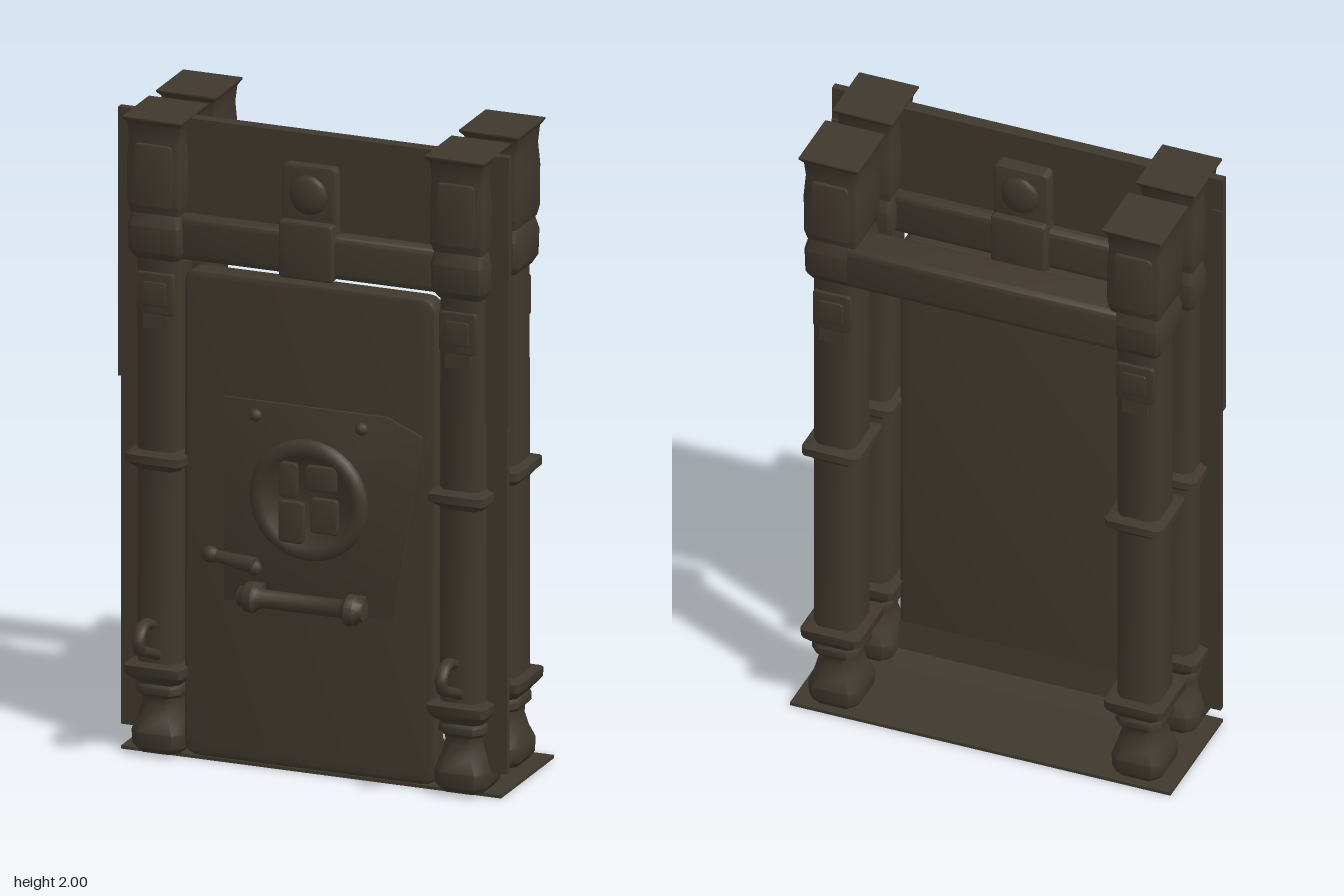
import * as THREE from 'three';
import { toCreasedNormals } from 'three/addons/utils/BufferGeometryUtils.js';

const iron = new THREE.MeshStandardMaterial({ color: 0x40382e, side: THREE.DoubleSide });
iron.name = 'dark iron';

function add(parent, name, geo, x = 0, y = 0, z = 0) {
  const m = new THREE.Mesh(geo, iron);
  m.name = name;
  m.position.set(x, y, z);
  parent.add(m);
  return m;
}
const box = (p, name, w, h, d, x, y, z) => add(p, name, new THREE.BoxGeometry(w, h, d), x, y, z);

// Bevelled plate standing in the xy plane, centred in depth
function plate(shape, depth, bevel) {
  const g = new THREE.ExtrudeGeometry(shape, {
    depth: depth - 2 * bevel, bevelThickness: bevel, bevelSize: bevel, bevelOffset: -bevel,
    bevelSegments: 2, curveSegments: 6,
  });
  g.translate(0, 0, -depth / 2 + bevel);
  return toCreasedNormals(g, 0.6);
}
function roundedRect(w, h, r) {
  const s = new THREE.Shape(), a = w / 2, b = h / 2;
  s.moveTo(-a + r, -b).lineTo(a - r, -b).quadraticCurveTo(a, -b, a, -b + r);
  s.lineTo(a, b - r).quadraticCurveTo(a, b, a - r, b).lineTo(-a + r, b);
  s.quadraticCurveTo(-a, b, -a, b - r).lineTo(-a, -b + r).quadraticCurveTo(-a, -b, -a + r, -b);
  return s;
}

// Chamfered column swept through [half width, y, chamfer]; slightly deeper than wide
function column(profile) {
  const pos = [], idx = [], deep = 1.1;
  for (const [h, y, c] of profile) {
    const k = h - c;
    for (const [x, z] of [[k, h], [h, k], [h, -k], [k, -h], [-k, -h], [-h, -k], [-h, k], [-k, h]]) pos.push(x, y, z * deep);
  }
  for (let i = 0; i < profile.length - 1; i++) {
    for (let j = 0; j < 8; j++) {
      const a = i * 8 + j, b = i * 8 + (j + 1) % 8;
      idx.push(a, b, b + 8, a, b + 8, a + 8);
    }
  }
  const top = (profile.length - 1) * 8;
  for (let j = 1; j < 7; j++) idx.push(top, top + j, top + j + 1, 0, j + 1, j);
  const g = new THREE.BufferGeometry();
  g.setAttribute('position', new THREE.Float32BufferAttribute(pos, 3));
  g.setIndex(idx);
  return toCreasedNormals(g, 0.85);
}

// Post with turned foot, collars and capped capital; +z is its outer side
function post() {
  const p = new THREE.Group();
  add(p, 'foot', column([
    [0.066, 0.01, 0.025], [0.08, 0.03, 0.025], [0.082, 0.075, 0.025], [0.068, 0.12, 0.03], [0.059, 0.16, 0.03],
    [0.06, 0.18, 0.03], [0.073, 0.195, 0.025], [0.073, 0.215, 0.025], [0.068, 0.225, 0.02], [0.08, 0.245, 0.015],
  ]));
  add(p, 'footCollar', column([[0.08, 0.24, 0.015], [0.094, 0.258, 0.012], [0.095, 0.285, 0.012], [0.068, 0.292, 0.02]]));
  add(p, 'shaft', column([[0.068, 0.28, 0.022], [0.068, 0.9, 0.022], [0.067, 1.57, 0.02]]));
  add(p, 'middleCollar', column([
    [0.068, 0.895, 0.02], [0.078, 0.908, 0.015], [0.092, 0.92, 0.012], [0.092, 0.945, 0.012], [0.068, 0.955, 0.02]]));
  add(p, 'lintelBlock', column([[0.07, 1.555, 0.012], [0.084, 1.58, 0.012], [0.086, 1.66, 0.012], [0.074, 1.71, 0.012]]));
  add(p, 'capital', column([
    [0.078, 1.7, 0.006], [0.085, 1.73, 0.006], [0.086, 1.86, 0.006], [0.081, 1.93, 0.006], [0.085, 1.98, 0.004],
    [0.096, 1.995, 0.002], [0.096, 2, 0.002]]));
  // Raised tags on the outer face
  add(p, 'capitalTag', plate(roundedRect(0.12, 0.2, 0.015), 0.02, 0.005), 0, 1.82, 0.091);
  add(p, 'upperTag', plate(roundedRect(0.12, 0.13, 0.012), 0.02, 0.005), 0, 1.45, 0.073);
  add(p, 'upperTagInset', plate(roundedRect(0.075, 0.075, 0.008), 0.01, 0.003), 0, 1.45, 0.084);
  box(p, 'tagTail', 0.08, 0.05, 0.012, 0, 1.365, 0.074);
  return p;
}

// Flat-sided hook, swept in the yz plane
function hook() {
  const curve = new THREE.CatmullRomCurve3([
    [0.11, 0.3], [0.16, 0.325], [0.22, 0.35], [0.27, 0.37], [0.284, 0.4], [0.265, 0.43], [0.225, 0.44], [0.185, 0.425],
  ].map(([z, y]) => new THREE.Vector3(0, y, z)));
  const g = new THREE.TubeGeometry(curve, 28, 0.016, 8);
  g.scale(1.25, 1, 1);
  return g;
}

export function createModel() {
  const model = new THREE.Group();
  model.name = 'ironGate';

  box(model, 'floorPlate', 1.22, 0.01, 0.41, 0, 0.005, -0.088);

  // Sloping threshold behind the foot of the door
  const wedge = new THREE.Shape([[-0.07, 0], [-0.005, 0.01], [0.035, 0.05], [0.05, 0.14], [-0.07, 0.14]]
    .slice(0, 4).concat([[0.07, 0.14], [0.07, 0]]).slice(1).map(([z, y]) => new THREE.Vector2(-z, y)));
  const ramp = new THREE.ExtrudeGeometry(wedge, { depth: 0.8, bevelEnabled: false });
  ramp.translate(0, 0, -0.4);
  ramp.rotateY(Math.PI / 2);
  add(model, 'threshold', ramp);

  // Four posts, hooks and side flanges
  for (const s of [-1, 1]) {
    const front = post();
    front.name = 'frontPost';
    front.position.set(s * 0.486, 0, 0.075);
    model.add(front);
    const back = post();
    back.name = 'backPost';
    back.position.set(s * 0.486, 0, -0.19);
    back.rotation.y = Math.PI;
    model.add(back);
    add(model, 'hook', hook(), s * 0.486, 0, 0);
    box(model, 'lowerFlange', 0.09, 1.09, 0.02, s * 0.575, 0.615, 0.085);
    box(model, 'upperFlange', 0.08, 0.84, 0.025, s * 0.587, 1.58, 0.088);
    box(model, 'flangeClip', 0.03, 0.16, 0.03, s * 0.611, 1.81, 0.085);
  }

  // Lintels and header wall
  for (const [name, depth, z] of [['frontLintel', 0.115, 0.087], ['backLintel', 0.135, -0.219]]) {
    const g = plate(roundedRect(depth, 0.14, 0.025), 0.86, 0.002);
    g.rotateY(Math.PI / 2);
    add(model, name, g, 0, 1.63, z);
  }
  box(model, 'headerWall', 0.9, 0.33, 0.04, 0, 1.83, 0.085);

  // Central keystone, with a face on both sides of the header
  const key = new THREE.Group();
  key.name = 'keystone';
  model.add(key);
  add(key, 'keystoneBand', plate(roundedRect(0.175, 0.18, 0.015), 0.175, 0.012), 0, 1.645, 0.08);
  add(key, 'keystonePlate', plate(roundedRect(0.175, 0.2, 0.02), 0.12, 0.01), 0, 1.805, 0.078);
  for (const z of [0.138, 0.018]) {
    const boss = add(key, 'keystoneBoss', new THREE.SphereGeometry(0.062, 12, 8), 0, 1.815, z);
    boss.scale.set(1, 1, 0.35);
  }

  // Door slab with its lock plate
  const door = new THREE.Group();
  door.name = 'door';
  model.add(door);
  add(door, 'doorSlab', plate(roundedRect(0.81, 1.52, 0.05), 0.075, 0.015), -0.003, 0.77, 0.0875);
  const outline = new THREE.Shape([
    [-0.275, 0.515], [0.27, 0.515], [0.365, 1.1], [0.25, 1.15], [-0.275, 1.15],
  ].map(([x, y]) => new THREE.Vector2(x, y)));
  add(door, 'lockPlate', plate(outline, 0.016, 0.003), 0, 0, 0.125);
  for (const x of [-0.17, 0.17]) add(door, 'rivet', new THREE.SphereGeometry(0.02, 10, 8), x, 1.105, 0.136);

  // Round medallion with a raised rim and plain relief blocks
  const rim = [[0.19, 0], [0.185, 0.016], [0.165, 0.025], [0.145, 0.02], [0.135, 0.008], [0, 0.008]]
    .map(([r, y]) => new THREE.Vector2(r, y));
  const disc = new THREE.LatheGeometry(rim, 32);
  disc.rotateX(Math.PI / 2);
  add(door, 'medallion', toCreasedNormals(disc, 0.9), 0, 0.86, 0.132);
  for (const [w, h, x, y] of [[0.06, 0.11, -0.06, 0.92], [0.1, 0.08, 0.045, 0.935], [0.08, 0.13, -0.05, 0.79], [0.09, 0.11, 0.055, 0.82]])
    add(door, 'reliefBlock', plate(roundedRect(w, h, 0.015), 0.02, 0.005), x, y, 0.146);

  // Grab bar with stepped ends
  const half = [[0, 0.205], [0.03, 0.2], [0.035, 0.185], [0.046, 0.175], [0.048, 0.15], [0.036, 0.14], [0.028, 0.125]];
  const full = [...half, ...half.map(([r, y]) => [r, -y]).reverse()].reverse().map(([r, y]) => new THREE.Vector2(r, y));
  const bar = new THREE.LatheGeometry(full, 14);
  bar.rotateZ(Math.PI / 2);
  add(door, 'grabBar', toCreasedNormals(bar, 0.8), 0, 0.553, 0.188);
  for (const x of [-0.162, 0.162]) box(door, 'barMount', 0.045, 0.06, 0.07, x, 0.553, 0.155);

  // Latch lever: broad paddle on the left, small pivot on the right
  const lever = new THREE.CylinderGeometry(0.016, 0.026, 0.16, 10);
  lever.rotateZ(Math.PI / 2);
  const latch = add(door, 'latchLever', lever, -0.24, 0.647, 0.148);
  latch.rotation.set(0, -0.15, -0.06);
  const tip = add(door, 'latchTip', new THREE.SphereGeometry(0.028, 10, 8), -0.313, 0.653, 0.14);
  tip.scale.set(1, 0.9, 0.9);
  add(door, 'latchPivot', new THREE.SphereGeometry(0.024, 10, 8), -0.167, 0.635, 0.155);

  return model;
}
